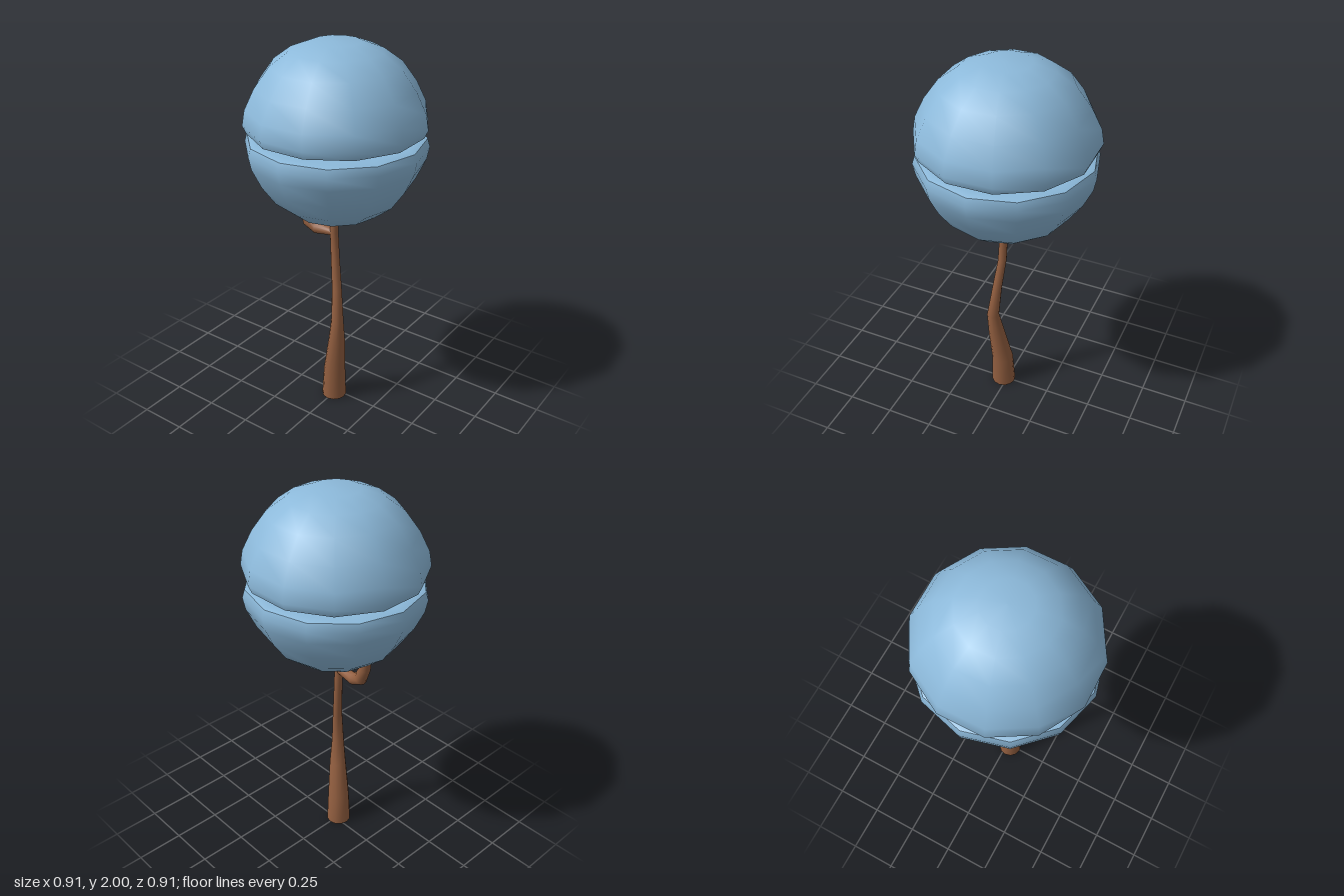
import * as THREE from 'three';

const bark = new THREE.MeshStandardMaterial({ color: 0x935f40 });
bark.name = 'brown bark';
const leaf = new THREE.MeshStandardMaterial({ color: 0x8cb9da });
leaf.name = 'blue foliage';

// Smooth limb through round sections [x, y, z, radius, tilt in degrees], capped at the start
function limb(name, sections, sides = 12) {
  const pos = [], index = [];
  const ring = ([x, y, z, r, tilt = 0]) => {
    const t = THREE.MathUtils.degToRad(tilt);
    for (let i = 0; i < sides; i++) {
      const a = (i / sides) * Math.PI * 2, u = r * Math.cos(a);
      pos.push(x + u * Math.cos(t), y + u * Math.sin(t), z + r * Math.sin(a));
    }
  };
  sections.forEach(ring);
  for (let s = 0; s < sections.length - 1; s++) {
    for (let i = 0; i < sides; i++) {
      const a = s * sides + i, b = s * sides + (i + 1) % sides;
      index.push(a, a + sides, b, b, a + sides, b + sides);
    }
  }
  // separate ring keeps the cap edge sharp
  const base = pos.length / 3;
  ring(sections[0]);
  pos.push(...sections[0].slice(0, 3));
  for (let i = 0; i < sides; i++) index.push(base + sides, base + i, base + (i + 1) % sides);
  const g = new THREE.BufferGeometry();
  g.setAttribute('position', new THREE.Float32BufferAttribute(pos, 3));
  g.setIndex(index);
  g.computeVertexNormals();
  const mesh = new THREE.Mesh(g, bark);
  mesh.name = name;
  return mesh;
}

// Twelve-sided turned surface from [radius, y] points, listed bottom to top
function turned(name, points) {
  const g = new THREE.LatheGeometry(points.map(([r, y]) => new THREE.Vector2(r, y)), 12);
  const mesh = new THREE.Mesh(g, leaf);
  mesh.name = name;
  return mesh;
}

export function createModel() {
  const tree = new THREE.Group();
  tree.name = 'tree';

  // Crooked, tapering trunk
  tree.add(limb('trunk', [
    [0, 0, 0.022, 0.067], [0.006, 0.18, 0.026, 0.059], [0.035, 0.38, 0.047, 0.045],
    [0.05, 0.52, 0.062, 0.033], [0.034, 0.7, 0.044, 0.026], [0.009, 0.88, 0.024, 0.023],
    [0, 1.02, 0.02, 0.022], [0, 1.2, 0.02, 0.022],
  ]));

  // Side branch bending up into the foliage
  tree.add(limb('branch', [
    [0.005, 1.018, 0.02, 0.018, 90], [-0.11, 1.014, 0.02, 0.033, 80],
    [-0.162, 1.04, 0.02, 0.035, 45], [-0.188, 1.11, 0.02, 0.031, 14],
    [-0.2, 1.22, 0.02, 0.03, 5],
  ]));

  // Lower half of the crown
  const lower = new THREE.Group();
  lower.name = 'lowerFoliage';
  lower.add(
    turned('lowerDome', [
      [0, 1.105], [0.115, 1.106], [0.23, 1.155], [0.325, 1.23], [0.395, 1.33],
      [0.442, 1.43], [0.455, 1.495], [0.442, 1.537],
    ]),
    turned('lowerRim', [[0.442, 1.537], [0.405, 1.549], [0, 1.556]]),
  );

  // Upper half, turned slightly against the lower one
  const upper = new THREE.Group();
  upper.name = 'upperFoliage';
  upper.rotation.y = THREE.MathUtils.degToRad(16);
  upper.add(
    turned('upperRim', [[0, 1.556], [0.405, 1.564], [0.438, 1.575]]),
    turned('upperDome', [
      [0.438, 1.575], [0.455, 1.615], [0.442, 1.69], [0.393, 1.79],
      [0.32, 1.89], [0.228, 1.957], [0.12, 1.998], [0, 2],
    ]),
  );
  tree.add(lower, upper);
  return tree;
}
